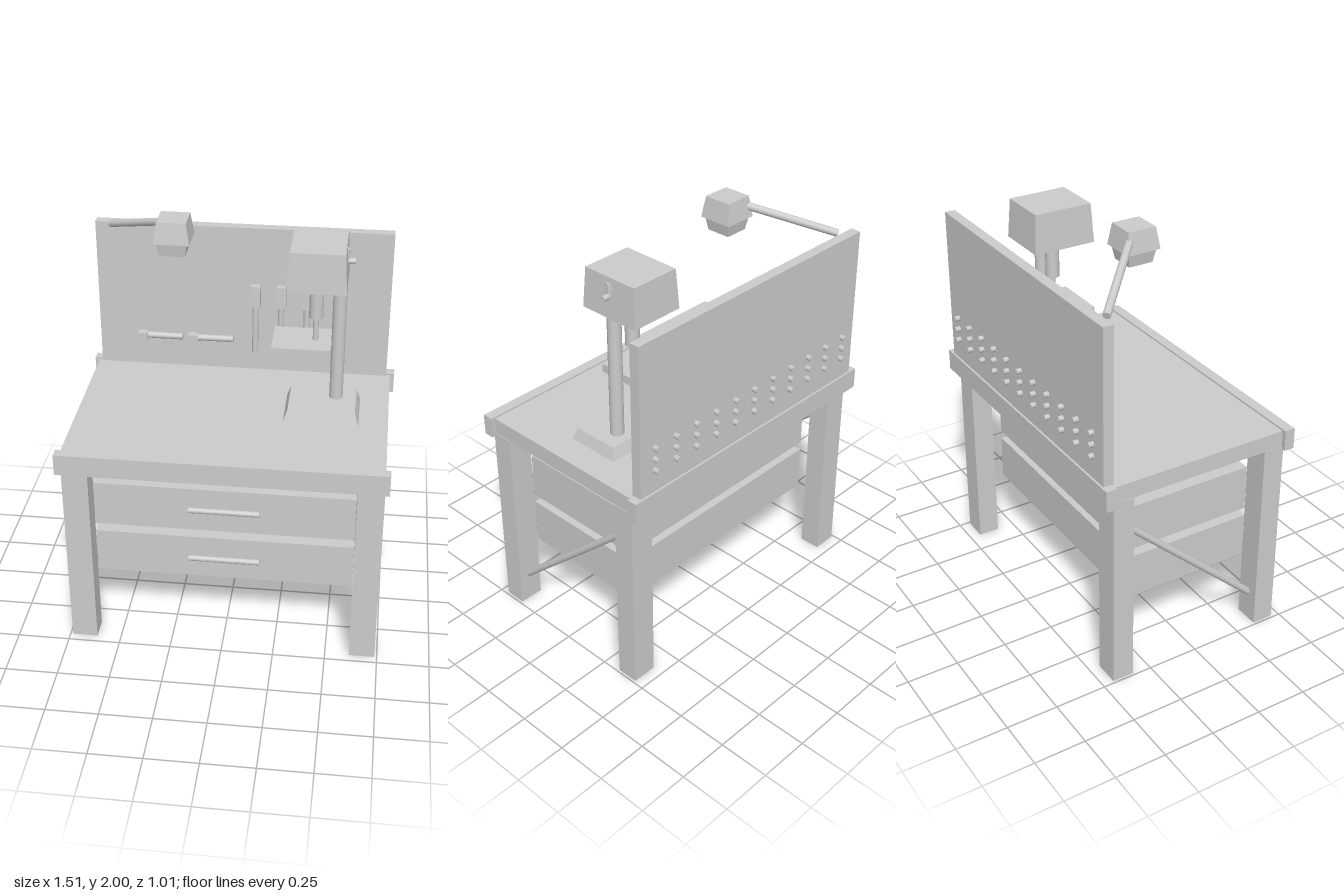
import * as THREE from 'three';

const grey = new THREE.MeshStandardMaterial({ color: 0xcccccc });

export function createModel() {
  const root = new THREE.Group();
  root.name = 'workbench';

  function add(name, geometry, parent = root) {
    const mesh = new THREE.Mesh(geometry, grey);
    mesh.name = name;
    parent.add(mesh);
    return mesh;
  }

  // Box given by its extents; the top (or bottom) can be inset for tapered parts
  function box(name, [x0, x1], [y0, y1], [z0, z1], parent, topInset = 0, bottomInset = 0) {
    const w = x1 - x0, h = y1 - y0, d = z1 - z0;
    let g = new THREE.BoxGeometry(w, h, d);
    const p = g.attributes.position;
    for (let i = 0; i < p.count; i++) {
      const inset = p.getY(i) > 0 ? topInset : bottomInset;
      p.setX(i, p.getX(i) * (1 - 2 * inset / w));
      p.setZ(i, p.getZ(i) * (1 - 2 * inset / d));
    }
    g.computeVertexNormals();
    g.translate((x0 + x1) / 2, (y0 + y1) / 2, (z0 + z1) / 2);
    return add(name, g, parent);
  }

  // Round bar between two points
  function bar(name, from, to, radius, parent, sides = 16) {
    const a = new THREE.Vector3(...from), b = new THREE.Vector3(...to);
    const dir = b.clone().sub(a);
    const mesh = add(name, new THREE.CylinderGeometry(radius, radius, dir.length(), sides), parent);
    mesh.position.copy(a).add(b).multiplyScalar(0.5);
    mesh.quaternion.setFromUnitVectors(new THREE.Vector3(0, 1, 0), dir.normalize());
    return mesh;
  }

  function group(name) {
    const g = new THREE.Group();
    g.name = name;
    root.add(g);
    return g;
  }

  // Worktop with front and back rails
  box('worktop', [-0.735, 0.735], [0.973, 1.055], [-0.46, 0.46]);
  box('frontRail', [-0.757, 0.757], [0.96, 1.063], [0.452, 0.504]);
  box('backRail', [-0.757, 0.757], [0.96, 1.063], [-0.492, -0.441]);

  // Legs and diagonal side braces
  for (const s of [-1, 1]) {
    const x = [0.677 * s - 0.061, 0.677 * s + 0.061];
    box('frontLeg', x, [0, 0.975], [0.355, 0.46]);
    box('backLeg', x, [0, 0.975], [-0.445, -0.34]);
    bar('sideBrace', [0.677 * s, 0.13, 0.38], [0.677 * s, 0.81, -0.36], 0.017);
  }

  // Drawers with bar handles
  for (const [y0, y1, handleY] of [[0.335, 0.56, 0.445], [0.603, 0.83, 0.72]]) {
    const drawer = group('drawer');
    box('drawerBox', [-0.615, 0.612], [y0, y1], [-0.295, 0.355], drawer);
    bar('drawerHandle', [-0.168, handleY, 0.366], [0.168, handleY, 0.366], 0.014, drawer);
  }

  // Back panel with rows of pegs
  box('backPanel', [-0.717, 0.717], [1.05, 1.81], [-0.482, -0.432]);
  const pegs = group('pegs');
  for (let col = -5; col <= 5; col++) {
    for (const y of [1.175, 1.232, 1.29]) {
      bar('peg', [col * 0.1263, y, -0.475], [col * 0.1263, y, -0.507], 0.014, pegs, 8);
    }
  }

  // Hanging tools: upright and lying flat against the panel
  for (const x of [0.062, 0.188, 0.313]) {
    const tool = group('uprightTool');
    bar('toolHandle', [x, 1.16, -0.417], [x, 1.43, -0.417], 0.015, tool);
    box('toolHead', [x - 0.025, x + 0.025], [1.412, 1.52], [-0.434, -0.394], tool, 0.003);
  }
  for (const x of [-0.5, -0.247]) {
    const tool = group('flatTool');
    box('toolHead', [x - 0.025, x + 0.025], [1.203, 1.241], [-0.434, -0.394], tool);
    bar('toolHandle', [x + 0.02, 1.223, -0.417], [x + 0.2, 1.223, -0.417], 0.016, tool);
  }

  // Drill press
  const press = group('drillPress');
  const pz = -0.1;
  box('pressBase', [0.243, 0.598], [1.053, 1.112], [-0.195, 0.075], press, 0.02);
  bar('pressColumn', [0.482, 1.1, pz], [0.482, 1.74, pz], 0.032, press, 24);
  box('pressHead', [0.245, 0.515], [1.71, 1.9], [-0.257, 0.054], press, 0.011);
  bar('pressChuck', [0.375, 1.525, pz], [0.375, 1.69, pz], 0.033, press, 24);
  bar('drillBit', [0.375, 1.41, pz], [0.375, 1.53, pz], 0.013, press);
  box('pressTable', [0.177, 0.452], [1.37, 1.41], [-0.213, 0.014], press);
  bar('feedPivot', [0.48, 1.813, pz], [0.545, 1.813, pz], 0.014, press);
  bar('feedLever', [0.5, 1.8, pz], [0.5, 1.873, pz], 0.017, press);

  // Work lamp on an angled arm
  const lamp = group('lamp');
  bar('lampArm', [-0.635, 1.81, -0.415], [-0.32, 1.96, -0.105], 0.018, lamp);
  box('lampShade', [-0.357, -0.193], [1.9, 2.0], [-0.142, 0.024], lamp, 0.015);
  box('lampRim', [-0.345, -0.205], [1.836, 1.902], [-0.13, 0.012], lamp, 0, 0.012);

  return root;
}
